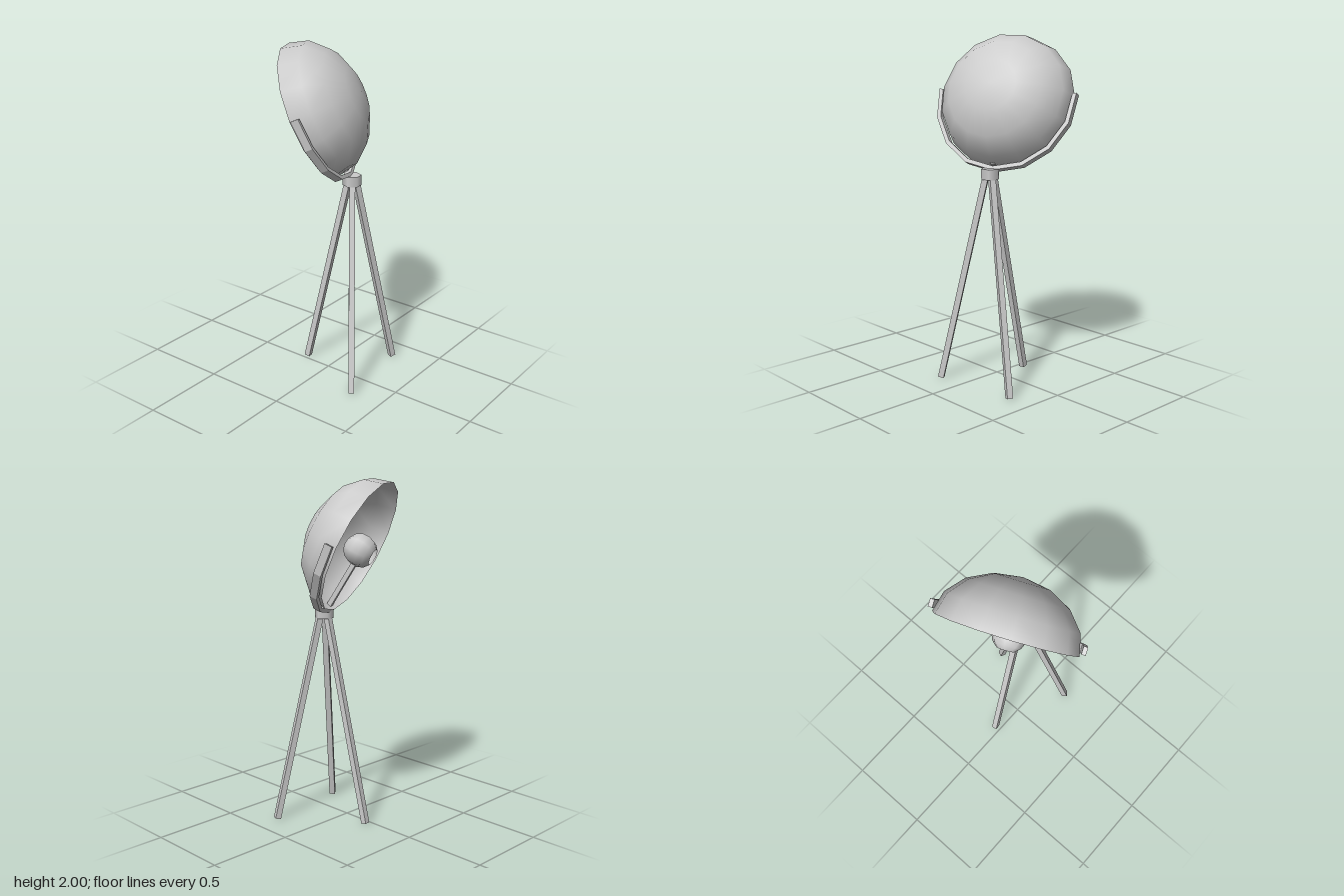
import * as THREE from 'three';

const grey = new THREE.MeshStandardMaterial({ color: 0xcccccc, side: THREE.DoubleSide });

function part(name, geometry, parent) {
  const mesh = new THREE.Mesh(geometry, grey);
  mesh.name = name;
  parent.add(mesh);
  return mesh;
}

// Square bar running from a to b
function bar(name, a, b, width, parent) {
  const geo = new THREE.BoxGeometry(width, width, a.distanceTo(b));
  const m = new THREE.Matrix4().lookAt(b, a, new THREE.Vector3(0, 1, 0));
  m.setPosition(a.clone().lerp(b, 0.5));
  return part(name, geo.applyMatrix4(m), parent);
}

export function createModel() {
  const lamp = new THREE.Group();
  lamp.name = 'tripodLamp';
  const V = (x, y, z) => new THREE.Vector3(x, y, z);

  // Tripod: three splayed legs under a six-sided hub
  const hub = V(0.118, 1.23, -0.07);
  const feet = [V(-0.187, 0.004, -0.035), V(0.236, 0.004, -0.352), V(0.297, 0.004, 0.167)];
  for (const foot of feet) {
    const out = foot.clone().sub(hub).setY(0).normalize().multiplyScalar(0.022);
    bar('leg', hub.clone().add(out), foot, 0.034, lamp);
  }
  const hubMesh = part('hub', new THREE.CylinderGeometry(0.054, 0.054, 0.06, 6), lamp);
  hubMesh.position.copy(hub);
  hubMesh.rotation.y = 0.13;

  // Head: local +z is the direction the shade opens
  const head = new THREE.Group();
  head.name = 'head';
  head.position.set(-0.1, 1.62, 0.01);
  head.lookAt(head.position.clone().add(V(-0.84, -0.41, 0.35)));
  lamp.add(head);

  // Shade: flattened half sphere, one rim corner at the bottom
  const shade = new THREE.SphereGeometry(0.402, 15, 4, -Math.PI / 2, Math.PI * 2, 0, Math.PI / 2);
  shade.rotateX(-Math.PI / 2).scale(1, 1, 0.755);
  part('shade', shade, head);

  // Yoke: flat strap hugging the lower half of the rim
  const arc = (r, i) => {
    const a = -Math.PI / 2 + (i * Math.PI * 2) / 15;
    return new THREE.Vector2(r * Math.cos(a), r * Math.sin(a));
  };
  const outline = [];
  for (let i = -4; i <= 4; i++) outline.push(arc(0.43, i));
  for (let i = 4; i >= -4; i--) outline.push(arc(0.406, i));
  const yoke = new THREE.ExtrudeGeometry(new THREE.Shape(outline), { depth: 0.045, bevelEnabled: false });
  part('yoke', yoke.translate(0, 0, -0.06), head);

  // Bulb cover with an open front, held by a thin stem
  const bulb = new THREE.SphereGeometry(0.097, 8, 6, 0, Math.PI * 2, Math.PI / 6, Math.PI * 5 / 6);
  part('bulbCover', bulb.rotateX(Math.PI / 2), head).position.set(0.015, -0.022, 0);
  const stem = part('stem', new THREE.BoxGeometry(0.028, 0.32, 0.028), head);
  stem.position.set(0.008, -0.235, -0.018);
  stem.rotation.x = 0.13;

  return lamp;
}
